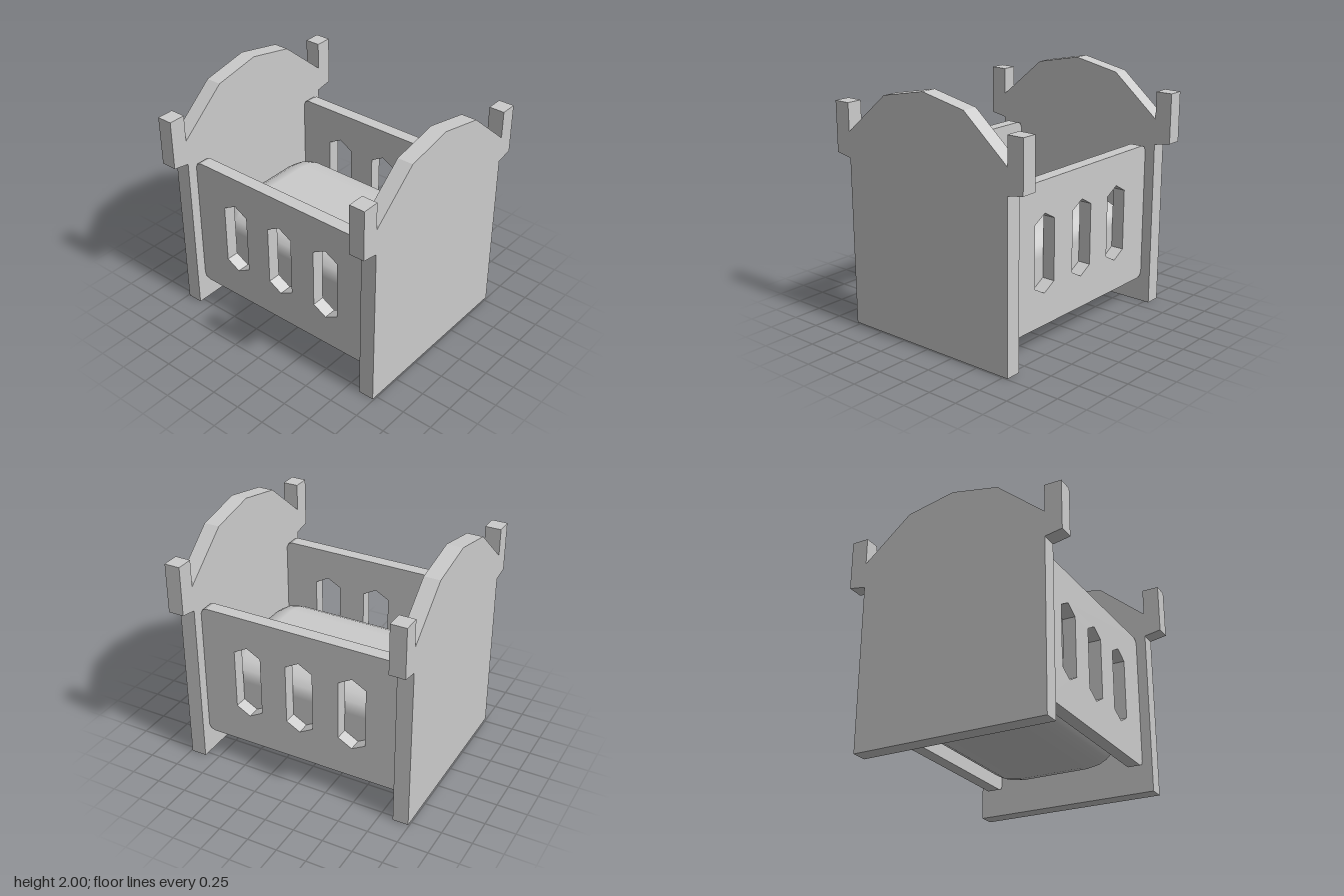
import * as THREE from 'three';
import { RoundedBoxGeometry } from 'three/addons/geometries/RoundedBoxGeometry.js';

const toPoints = (list) => list.map(([x, y]) => new THREE.Vector2(x, y));

export function createModel() {
  const model = new THREE.Group();
  const material = new THREE.MeshStandardMaterial({ color: 0xcccccc });
  const add = (name, geometry, x, y, z) => {
    const mesh = new THREE.Mesh(geometry, material);
    mesh.name = name;
    mesh.position.set(x, y, z);
    model.add(mesh);
  };

  // End boards: arched top with a raised post at each shoulder
  const half = [[0.79, 0], [0.79, 1.375], [0.93, 1.4], [0.93, 1.81], [0.79, 1.81], [0.79, 1.585], [0.395, 1.92]];
  const mirrored = half.map(([x, y]) => [-x, y]).reverse();
  const endShape = new THREE.Shape(toPoints([...half, [0, 2], ...mirrored]));
  const endGeometry = new THREE.ExtrudeGeometry(endShape, { depth: 0.13, bevelEnabled: false });
  add('frontBoard', endGeometry, 0, 0, 0.86);
  add('backBoard', endGeometry, 0, 0, -0.99);

  // Side boards: eased corners and three pointed slots
  const w = 0.86, bottom = 0.215, top = 1.36, r = 0.05, m = 0.015;
  const sideShape = new THREE.Shape(toPoints([
    [-w + r, bottom], [w - r, bottom], [w - m, bottom + m], [w, bottom + r],
    [w, top - r], [w - m, top - m], [w - r, top], [-w + r, top],
    [-w + m, top - m], [-w, top - r], [-w, bottom + r], [-w + m, bottom + m],
  ]));
  for (const c of [-0.457, 0, 0.457]) {
    sideShape.holes.push(new THREE.Path(toPoints([
      [c, 0.475], [c - 0.116, 0.54], [c - 0.116, 1.04],
      [c, 1.105], [c + 0.116, 1.04], [c + 0.116, 0.54],
    ])));
  }
  const sideGeometry = new THREE.ExtrudeGeometry(sideShape, { depth: 0.107, bevelEnabled: false });
  sideGeometry.translate(0, 0, -0.0535).rotateY(-Math.PI / 2);
  add('leftSideBoard', sideGeometry, 0.65, 0, 0);
  add('rightSideBoard', sideGeometry, -0.653, 0, 0);

  // Mattress: rounded block, with a different corner radius along each axis
  const size = [1.15, 0.695, 1.71];
  const radius = [0.285, 0.2, 0.22];
  const mattress = new RoundedBoxGeometry(...size.map((s, i) => s / radius[i]), 2, 1);
  mattress.scale(...radius);
  add('mattress', mattress, 0.017, 0.5575, -0.003);

  return model;
}
